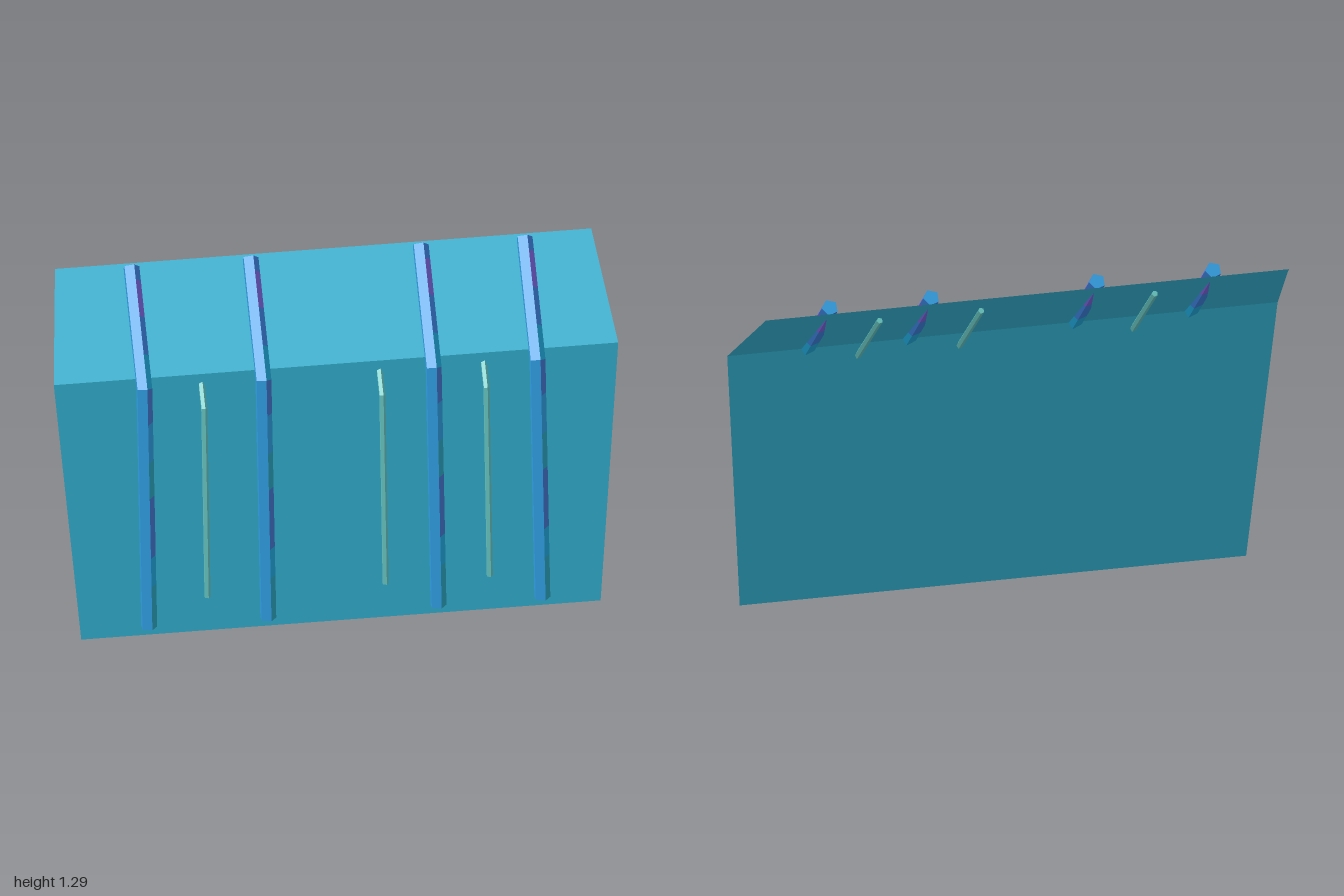
import * as THREE from 'three';

const make = (name, color, side = THREE.FrontSide) => {
  const m = new THREE.MeshStandardMaterial({ color, side });
  m.name = name;
  return m;
};

// Flat four-cornered panel, corners counter-clockwise from the front
function panel(name, material, halfLow, yLow, zLow, halfHigh, yHigh, zHigh) {
  const a = [-halfLow, yLow, zLow], b = [halfLow, yLow, zLow];
  const c = [halfHigh, yHigh, zHigh], d = [-halfHigh, yHigh, zHigh];
  const g = new THREE.BufferGeometry();
  g.setAttribute('position', new THREE.Float32BufferAttribute([a, b, c, a, c, d].flat(), 3));
  g.computeVertexNormals();
  const mesh = new THREE.Mesh(g, material);
  mesh.name = name;
  return mesh;
}

// Five-sided bar swept along a bent path of three [y, z] points.
// stations run from 0 (foot) to 1 (bend) to 2 (tip); pick gives a material index per face.
function bentBar(path, r, stations, pick) {
  const [p, q, s] = path.map(([y, z]) => new THREE.Vector2(y, z));
  const normal = (a, b) => {
    const d = b.clone().sub(a).normalize();
    return new THREE.Vector2(-d.y, d.x);
  };
  const nLow = normal(p, q), nHigh = normal(q, s);
  const miter = nLow.clone().add(nHigh).normalize();
  miter.divideScalar(miter.dot(nLow));

  const rings = stations.map((t) => {
    const c = t <= 1 ? p.clone().lerp(q, t) : q.clone().lerp(s, t - 1);
    const n = t === 1 ? miter : t < 1 ? nLow : nHigh;
    return Array.from({ length: 5 }, (_, k) => {
      const a = (k * Math.PI * 2) / 5;
      return [r * Math.cos(a), c.x + n.x * r * Math.sin(a), c.y + n.y * r * Math.sin(a)];
    });
  });

  const pos = [];
  const g = new THREE.BufferGeometry();
  const add = (material, ...points) => {
    g.addGroup(pos.length / 3, points.length, material);
    pos.push(...points.flat());
  };
  for (let i = 0; i < rings.length - 1; i++) {
    for (let k = 0; k < 5; k++) {
      const j = (k + 1) % 5;
      const A = rings[i][k], B = rings[i][j], C = rings[i + 1][j], D = rings[i + 1][k];
      add(pick(k, i), A, D, C, A, C, B);
    }
  }
  const foot = rings[0], tip = rings[rings.length - 1];
  for (let k = 1; k < 4; k++) {
    add(pick(1, 0), foot[0], foot[k], foot[k + 1]);
    add(pick(1, 0), tip[0], tip[k + 1], tip[k]);
  }
  g.setAttribute('position', new THREE.Float32BufferAttribute(pos, 3));
  g.computeVertexNormals();
  return g;
}

export function createModel() {
  const model = new THREE.Group();
  model.name = 'bentPanel';

  const sheet = make('sheetCyan', 0x33b4d5, THREE.DoubleSide);
  const rodTeal = make('rodTeal', 0x66c4c0);
  const barColors = [
    make('skyBlue', 0x2f9cdf),
    make('brightCyan', 0x20a8dc),
    make('blue', 0x3c80dc),
    make('violet', 0x7a62dc),
    make('teal', 0x2ca3bc),
    make('indigo', 0x4274cc),
  ];

  // Folded sheet
  model.add(panel('lowerPanel', sheet, 0.92, 0, 0.2, 1, 1, 0.07));
  model.add(panel('upperPanel', sheet, 1, 1, 0.07, 0.95, 1.26, -0.27));

  // Thick ribs, banded in colour along their length
  const stations = [0, 0.18, 0.3, 0.55, 0.7, 0.86, 1, 1.27, 1.58, 1.88, 2];
  const bands = [4, 1, 5, 4, 0, 5, 1, 2, 3, 2];
  const ribShape = bentBar(
    [[0.057, 0.237], [0.98, 0.108], [1.27, -0.233]], 0.03, stations,
    (face, band) => (face === 1 || face === 2 ? 0 : bands[band]));
  for (const x of [-0.686, -0.264, 0.339, 0.707]) {
    const rib = new THREE.Mesh(ribShape, barColors);
    rib.name = 'rib';
    rib.position.x = x;
    model.add(rib);
  }

  // Thin rods that pass through the sheet below the fold
  const rodShape = bentBar(
    [[0.16, 0.228], [0.9, 0.141], [1.197, -0.22]], 0.0115, [0, 1, 2], () => 0);
  for (const x of [-0.477, 0.154, 0.523]) {
    const rod = new THREE.Mesh(rodShape, [rodTeal]);
    rod.name = 'thinRod';
    rod.position.x = x;
    model.add(rod);
  }
  return model;
}
